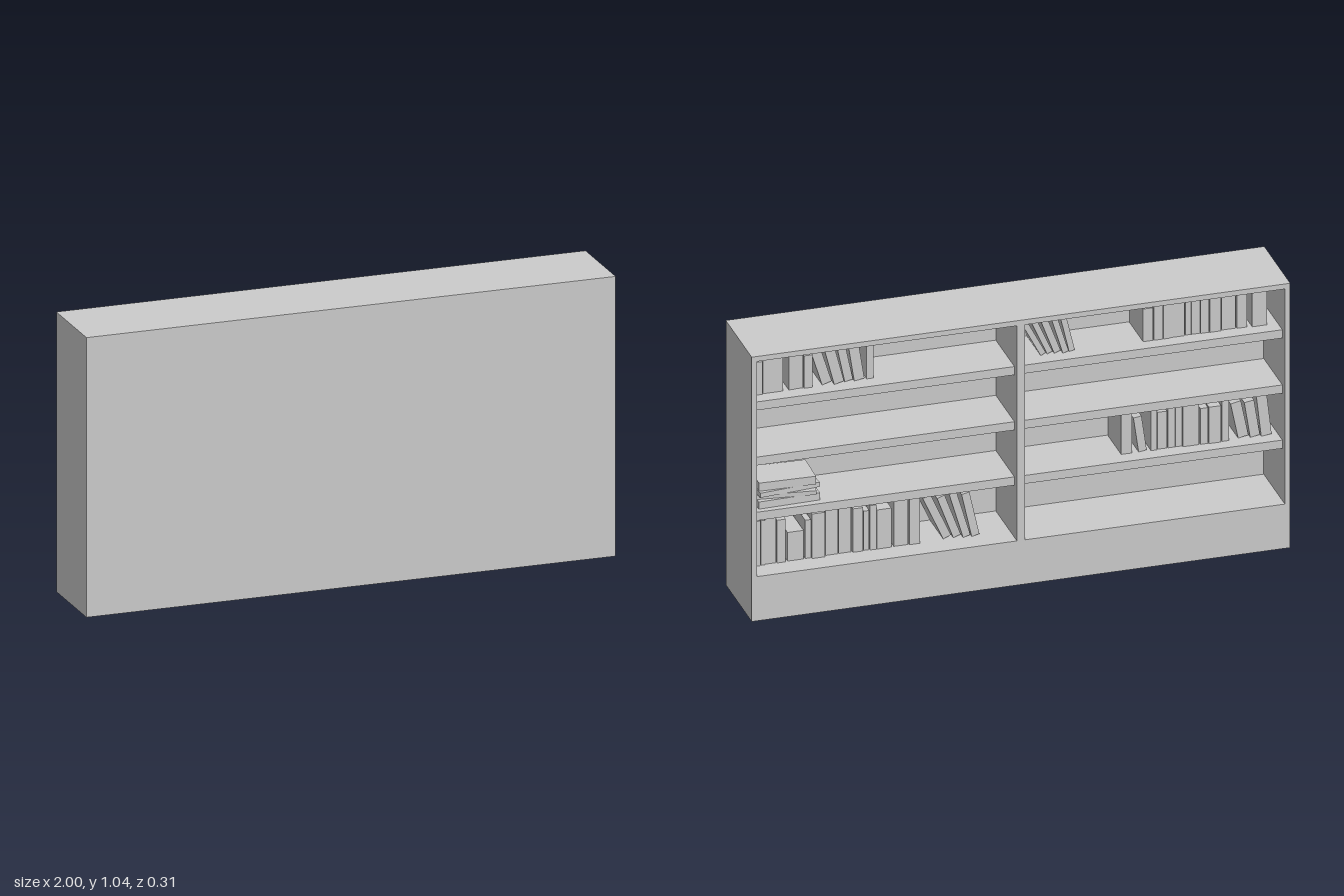
import * as THREE from 'three';

const material = new THREE.MeshStandardMaterial({ color: 0xcccccc, flatShading: true });

// Box given by its low and high corners
function box(parent, name, [x0, y0, z0], [x1, y1, z1]) {
  const mesh = new THREE.Mesh(new THREE.BoxGeometry(x1 - x0, y1 - y0, z1 - z0), material);
  mesh.position.set((x0 + x1) / 2, (y0 + y1) / 2, (z0 + z1) / 2);
  mesh.name = name;
  parent.add(mesh);
  return mesh;
}

const HEIGHT = 1.045, DEPTH = 0.155, BACK = 0.097, FLOOR = 0.175;
const shelfTop = (i) => (i === 0 ? FLOOR : 0.414 + (i - 1) * 0.218);

// Small seeded generator, 0 to 1
let seed = 7;
const random = () => (seed = (seed * 16807) % 2147483647) / 2147483647;

// A run of books on a shelf between two distances from the left end;
// the first leans most, each pivoting on its lower left edge
function bookRun(parent, name, shelf, from, to, count, height, lean = 0) {
  const run = new THREE.Group();
  run.name = name;
  const weights = Array.from({ length: count }, () => (lean ? 0.85 : 0.5) + random() * (lean ? 0.3 : 1));
  const unit = (to - from) / weights.reduce((a, b) => a + b);
  let u = from;
  weights.forEach((weight, i) => {
    const angle = lean * (1 - (0.65 * i) / count);
    const w = weight * unit * Math.cos(angle) * 0.92;
    const h = height * (0.9 + 0.2 * random());
    const pivot = new THREE.Group();
    pivot.name = 'book';
    box(pivot, 'bookBlock', [-w, 0, -0.075 + 0.012 * random()], [0, h, 0.092]);
    pivot.position.set(1 - u, shelfTop(shelf), 0);
    pivot.rotation.z = -angle;
    run.add(pivot);
    u += weight * unit;
  });
  parent.add(run);
}

export function createModel() {
  seed = 7;
  const model = new THREE.Group();
  model.name = 'bookcase';

  // Carcass, open towards -z
  box(model, 'backPanel', [-1, 0, BACK], [1, HEIGHT, DEPTH]);
  box(model, 'base', [-1, 0, -DEPTH], [1, FLOOR, BACK]);
  box(model, 'topBoard', [-1, HEIGHT - 0.02, -DEPTH], [1, HEIGHT, BACK]);
  box(model, 'divider', [-0.015, FLOOR, -DEPTH], [0.015, HEIGHT - 0.02, BACK]);
  box(model, 'leftSide', [0.98, FLOOR, -DEPTH], [1, HEIGHT - 0.02, BACK]);
  box(model, 'rightSide', [-1, FLOOR, -DEPTH], [-0.98, HEIGHT - 0.02, BACK]);
  for (let i = 1; i <= 3; i++) {
    const y = shelfTop(i);
    box(model, 'leftShelf', [0.015, y - 0.033, -0.125], [0.98, y, BACK]);
    box(model, 'rightShelf', [-0.98, y - 0.033, -0.125], [-0.015, y, BACK]);
  }

  // Books on the top shelves
  bookRun(model, 'topLeftBooks', 3, 0.04, 0.15, 2, 0.135);
  bookRun(model, 'topLeftInnerBooks', 3, 0.165, 0.255, 3, 0.135);
  bookRun(model, 'topLeftLeaningBooks', 3, 0.29, 0.45, 4, 0.135, 0.3);
  bookRun(model, 'topLeftEndBook', 3, 0.455, 0.482, 1, 0.15);
  bookRun(model, 'topRightLeaningBooks', 3, 1.1, 1.23, 5, 0.15, 0.48);
  bookRun(model, 'topRightBooks', 3, 1.48, 1.87, 10, 0.138);
  bookRun(model, 'topRightEndBook', 3, 1.885, 1.945, 1, 0.14);

  // Books above the lowest right shelf
  bookRun(model, 'middleRightEndBook', 1, 1.4, 1.443, 1, 0.165);
  bookRun(model, 'middleRightLeaningBook', 1, 1.465, 1.498, 1, 0.15, 0.14);
  bookRun(model, 'middleRightBooks', 1, 1.51, 1.8, 8, 0.157);
  bookRun(model, 'middleRightLastBooks', 1, 1.835, 1.96, 3, 0.15, 0.2);

  // Books on the floor of the left bay
  bookRun(model, 'bottomLeftBooks', 0, 0.03, 0.155, 4, 0.163);
  bookRun(model, 'bottomLeftShortBook', 0, 0.16, 0.225, 1, 0.12);
  bookRun(model, 'bottomLeftMiddleBooks', 0, 0.226, 0.55, 8, 0.163);
  bookRun(model, 'bottomLeftTallBooks', 0, 0.555, 0.655, 2, 0.182);
  bookRun(model, 'bottomLeftLeaningBooks', 0, 0.74, 0.875, 4, 0.17, 0.42);

  // Stack of flat books: thickness, width, depth, turn
  const stack = new THREE.Group();
  stack.name = 'bookStack';
  let y = 0;
  for (const [t, w, d, turn] of [[0.028, 0.23, 0.16, 0.03], [0.016, 0.22, 0.15, -0.12], [0.018, 0.23, 0.145, 0.1], [0.032, 0.21, 0.14, -0.03]]) {
    box(stack, 'flatBook', [-w / 2, y, -d / 2], [w / 2, y + t, d / 2]).rotation.y = turn;
    y += t;
  }
  stack.position.set(0.845, shelfTop(1), -0.02);
  model.add(stack);
  return model;
}
